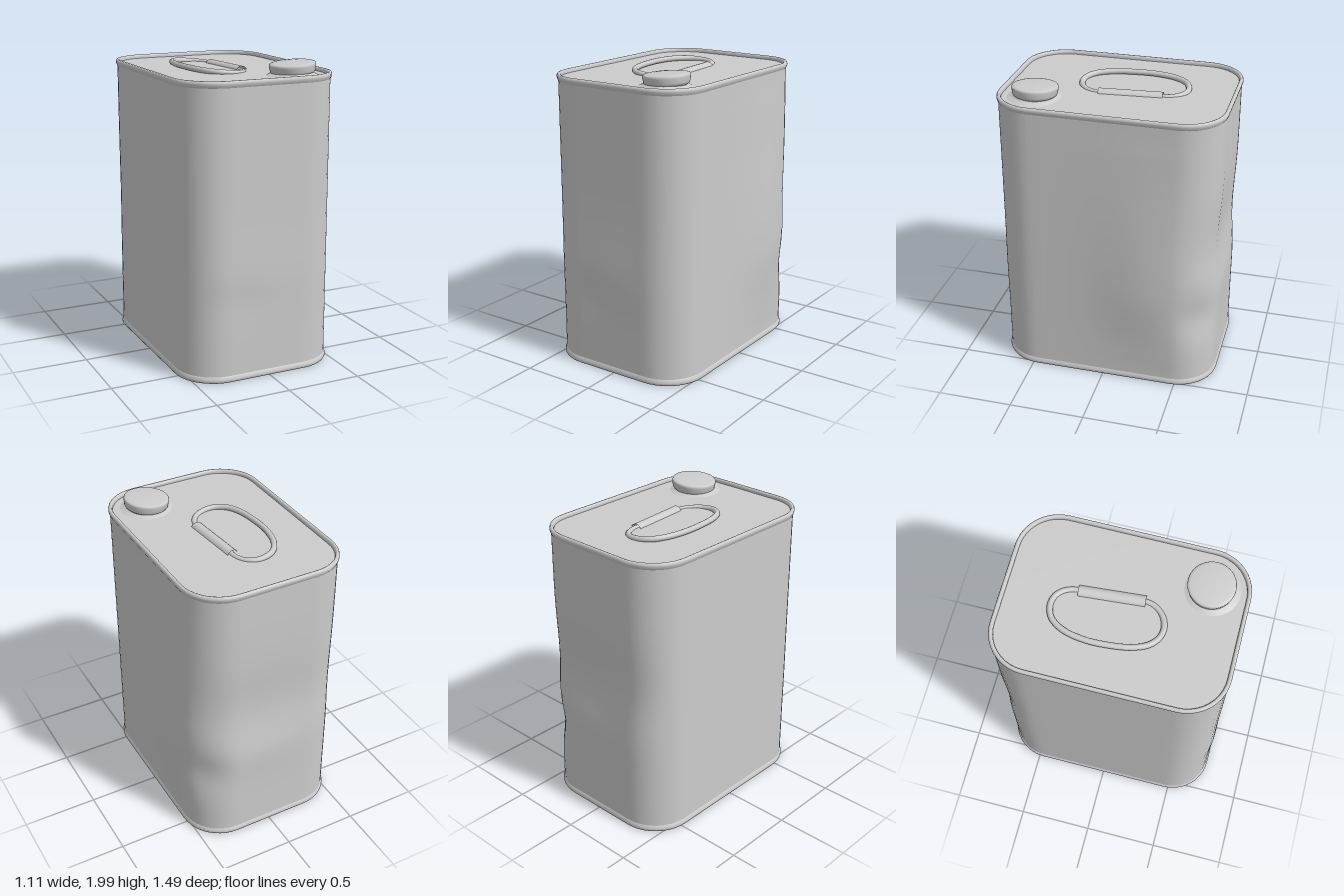
import * as THREE from 'three';

const CX = -0.015;          // the can sits slightly off centre
const HX = 0.53, HZ = 0.735, R = 0.265;

// Rounded-rectangle outline, inset from the can wall; same point count for every inset
function outline(inset) {
  const hx = HX - inset, hz = HZ - inset, r = R - inset;
  const corners = [[1, 1], [-1, 1], [-1, -1], [1, -1]];
  const pts = [];
  corners.forEach(([sx, sz], i) => {
    const arc = [];
    for (let k = 0; k <= 10; k++) {
      const a = (i + k / 10) * Math.PI / 2;
      arc.push([sx * (hx - r) + r * Math.cos(a), sz * (hz - r) + r * Math.sin(a)]);
    }
    pts.push(...arc);
    // subdivide the flat side leading to the next corner
    const [nx, nz] = corners[(i + 1) % 4];
    const a = (i + 1) * Math.PI / 2;
    const end = [nx * (hx - r) + r * Math.cos(a), nz * (hz - r) + r * Math.sin(a)];
    const start = arc[10];
    for (let k = 1; k < 16; k++) {
      const t = k / 16;
      pts.push([start[0] + (end[0] - start[0]) * t, start[1] + (end[1] - start[1]) * t]);
    }
  });
  return pts;
}

// Skin a list of [inset, y] rings
function loft(profile, deform) {
  const pos = [], idx = [];
  let n = 0;
  for (const [inset, y] of profile) {
    const ring = outline(inset);
    n = ring.length;
    for (const [x, z] of ring) {
      const p = new THREE.Vector3(x + CX, y, z);
      if (deform) deform(p);
      pos.push(p.x, p.y, p.z);
    }
  }
  for (let j = 0; j < profile.length - 1; j++) {
    for (let i = 0; i < n; i++) {
      const a = j * n + i, b = j * n + (i + 1) % n, c = a + n, d = b + n;
      idx.push(a, c, b, b, c, d);
    }
  }
  const g = new THREE.BufferGeometry();
  g.setAttribute('position', new THREE.Float32BufferAttribute(pos, 3));
  g.setIndex(idx);
  g.computeVertexNormals();
  return g;
}

// Dents and bulges: centre, spread in x, spread below, spread above, spread in z, push
const DENTS = [
  { c: [0.52, 0.71, -0.30], s: [0.3, 0.28, 0.55, 0.21], push: [0.042, 0, 0] },
  { c: [0.47, 0.52, -0.68], s: [0.12, 0.12, 0.12, 0.12], push: [-0.022, 0, 0.022] },
  { c: [0.15, 1.00, -0.73], s: [0.5, 0.16, 0.21, 0.2], push: [0, 0, 0.027] },
  { c: [0.10, 0.64, -0.73], s: [0.25, 0.12, 0.08, 0.1], push: [0, 0, -0.008] },
  { c: [-0.1, 0.66, 0.73], s: [0.3, 0.15, 0.2, 0.1], push: [0, 0, 0.008] },
  { c: [-0.2, 0.53, 0.73], s: [0.14, 0.1, 0.08, 0.1], push: [0, 0, -0.006] },
];
function dent(p) {
  const q = p.clone();
  const fade = Math.max(0, Math.min(1, (q.y - 0.03) / 0.15, (1.9 - q.y) / 0.2));
  for (const { c, s, push } of DENTS) {
    const dx = (q.x - c[0]) / s[0], dz = (q.z - c[2]) / s[3];
    const dy = (q.y - c[1]) / (q.y < c[1] ? s[1] : s[2]);
    const w = fade * Math.exp(-0.5 * (dx * dx + dy * dy + dz * dz));
    p.x += push[0] * w;
    p.y += push[1] * w;
    p.z += push[2] * w;
  }
}

export function createModel() {
  const group = new THREE.Group();
  const mat = new THREE.MeshStandardMaterial({ color: 0xcccccc, side: THREE.DoubleSide });
  const add = (name, geometry, parent = group) => {
    const m = new THREE.Mesh(geometry, mat);
    m.name = name;
    parent.add(m);
    return m;
  };

  // Dented wall
  const wall = [];
  for (let j = 0; j <= 56; j++) wall.push([0, 0.03 + 1.87 * j / 56]);
  add('body', loft(wall, dent));

  // Rolled seams at both ends, tapering into the wall
  const seam = (y, dir) => loft([
    [0.004, -0.026], [-0.004, -0.016], [-0.009, 0.0], [-0.009, 0.01], [-0.004, 0.02],
    [0.006, 0.022], [0.014, 0.018], [0.018, 0.008], [0.018, -0.016],
  ].map(([inset, h]) => [inset, y + dir * h]));
  add('topRim', seam(1.908, 1));
  add('bottomRim', seam(0.024, -1));

  // Recessed end panels
  const panel = (y, up) => {
    const shape = new THREE.Shape(outline(0.008).map(([x, z]) => new THREE.Vector2(x, z)));
    const g = new THREE.ShapeGeometry(shape);
    g.rotateX(up ? -Math.PI / 2 : Math.PI / 2);
    g.translate(CX, y, 0);
    return g;
  };
  add('topPanel', panel(1.904, true));
  add('bottomPanel', panel(0.04, false));

  // Spout: flared collar, neck and a slightly tilted cap
  const lathe = (pts) => new THREE.LatheGeometry(pts.map(([r, y]) => new THREE.Vector2(r, y)), 40);
  const spout = new THREE.Group();
  spout.name = 'spout';
  spout.position.set(0.268, 1.904, 0.495);
  group.add(spout);
  const collar = add('collar', lathe([
    [0.178, -0.002], [0.165, 0.003], [0.148, 0.01], [0.132, 0.016], [0.122, 0.035],
  ]), spout);
  collar.position.set(-0.006, 0, 0.01);
  const cap = add('cap', lathe([
    [0.118, 0.0], [0.128, 0.01], [0.138, 0.018], [0.144, 0.028], [0.149, 0.06],
    [0.149, 0.07], [0.145, 0.077], [0.13, 0.081], [0.08, 0.085], [0, 0.087],
  ]), spout);
  cap.rotation.z = 0.078;

  // Wire carrying loop, raised on its far side
  const loop = [
    [0.055, -0.25], [0.055, -0.30], [0.03, -0.37], [-0.02, -0.415], [-0.085, -0.425], [-0.165, -0.395],
    [-0.225, -0.31], [-0.256, -0.17], [-0.254, -0.02], [-0.232, 0.12], [-0.19, 0.215],
    [-0.13, 0.265], [-0.065, 0.278], [0.01, 0.255], [0.065, 0.2], [0.085, 0.14], [0.083, 0.08],
  ].map(([x, z]) => new THREE.Vector3(x, 1.911 - 0.09 * (x + 0.1), z));
  add('handleLoop', new THREE.TubeGeometry(new THREE.CatmullRomCurve3(loop), 90, 0.019, 12));

  // Folded sheet sleeve around the straight part of the loop, half sunk in the panel
  const a = new THREE.Vector3(0.052, 1.887, -0.285), b = new THREE.Vector3(0.086, 1.887, 0.13);
  const sleeve = add('handleGrip', new THREE.CylinderGeometry(0.041, 0.041, a.distanceTo(b), 20, 1, true));
  sleeve.position.copy(a).add(b).multiplyScalar(0.5);
  sleeve.quaternion.setFromUnitVectors(new THREE.Vector3(0, 1, 0), b.clone().sub(a).normalize());

  return group;
}
